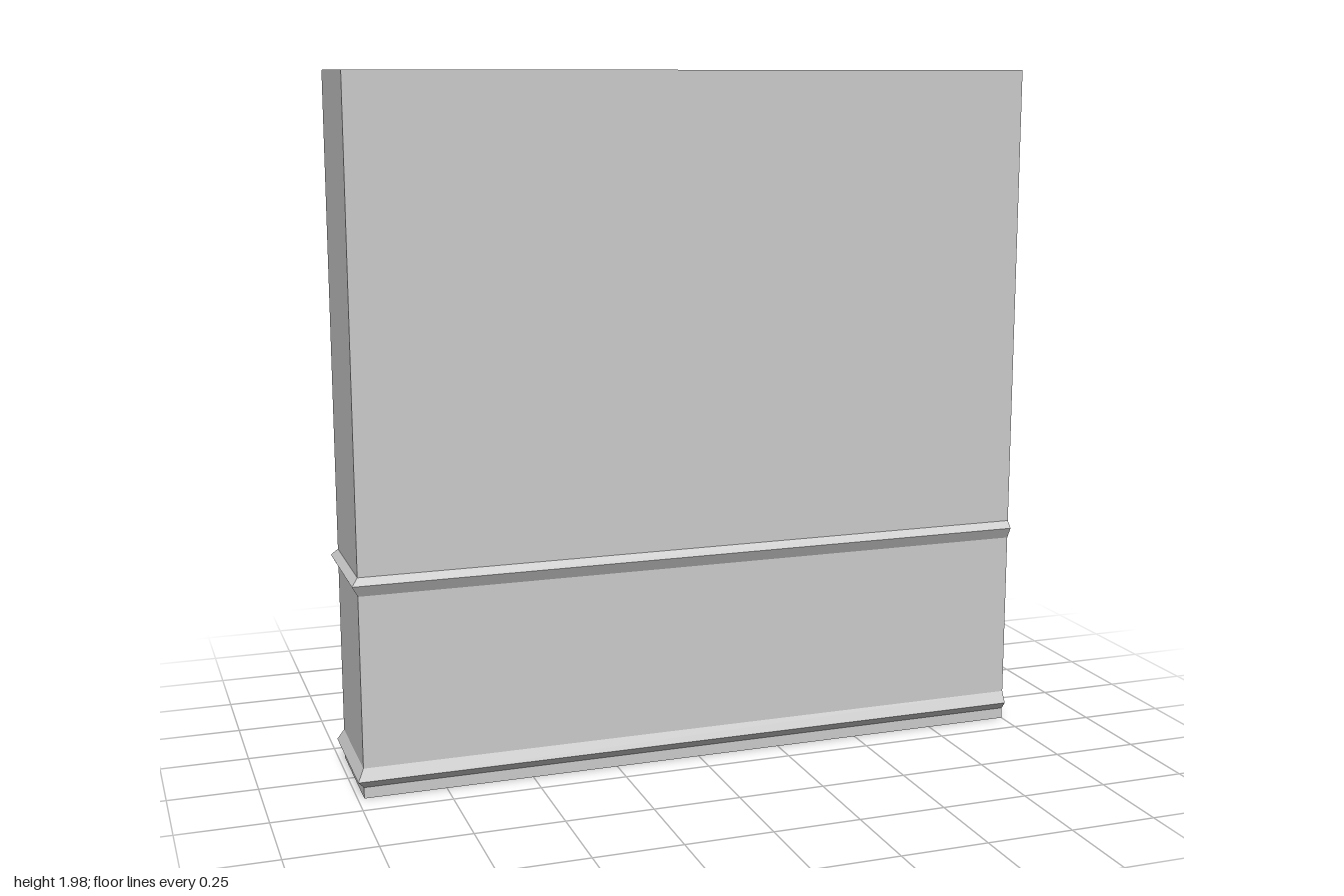
import * as THREE from 'three';

const HALF_DEPTH = 0.165, END_X = -0.982, OPEN_X = 1;

// Folded sheet section: [outward offset, height]
const lowerTrim = [[0, 0.032], [0.018, 0.054], [0, 0.087]];
const upperTrim = [[0, 0.577], [0.018, 0.61], [0, 0.63]];

// U-shaped plan, open at +x, with mitred corners pushed outward by the offset
const planAt = (o) => [
  [OPEN_X, -HALF_DEPTH - o],
  [END_X - o, -HALF_DEPTH - o],
  [END_X - o, HALF_DEPTH + o],
  [OPEN_X, HALF_DEPTH + o],
];

// Sweep a section around the plan as flat, separate faces
function sheet(name, section, material) {
  const pos = [];
  for (let j = 0; j < section.length - 1; j++) {
    const [o0, y0] = section[j], [o1, y1] = section[j + 1];
    const low = planAt(o0), high = planAt(o1);
    for (let i = 0; i < 3; i++) {
      const a = [low[i][0], y0, low[i][1]];
      const b = [low[i + 1][0], y0, low[i + 1][1]];
      const c = [high[i + 1][0], y1, high[i + 1][1]];
      const d = [high[i][0], y1, high[i][1]];
      pos.push(...a, ...b, ...c, ...a, ...c, ...d);
    }
  }
  const geometry = new THREE.BufferGeometry();
  geometry.setAttribute('position', new THREE.Float32BufferAttribute(pos, 3));
  geometry.computeVertexNormals();
  const mesh = new THREE.Mesh(geometry, material);
  mesh.name = name;
  return mesh;
}

export function createModel() {
  const model = new THREE.Group();
  model.name = 'wallSection';
  const material = new THREE.MeshStandardMaterial({ color: 0xcccccc, side: THREE.DoubleSide });

  // Plain wall bands, with the projecting trims folded between them
  model.add(
    sheet('baseBand', [[0, 0], lowerTrim[0]], material),
    sheet('lowerTrim', lowerTrim, material),
    sheet('lowerWall', [lowerTrim[2], upperTrim[0]], material),
    sheet('upperTrim', upperTrim, material),
    sheet('upperWall', [upperTrim[2], [0, 1.98]], material),
  );
  return model;
}
